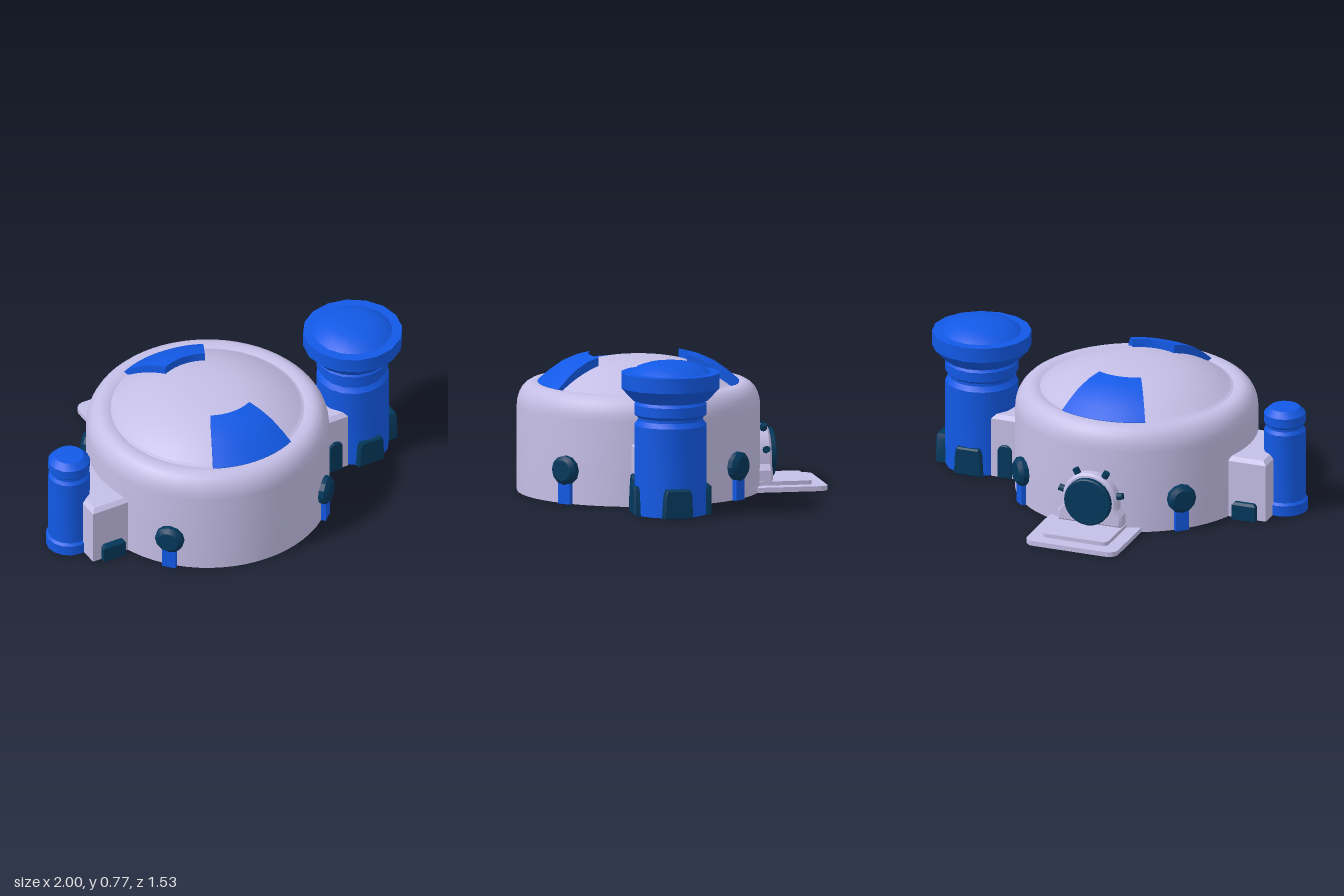
import * as THREE from 'three';
import { toCreasedNormals } from 'three/addons/utils/BufferGeometryUtils.js';

const material = (name, color) => {
  const m = new THREE.MeshStandardMaterial({ color, side: THREE.DoubleSide });
  m.name = name;
  return m;
};

export function createModel() {
  const lilac = material('lilac plaster', 0xc4bee6);
  const blue = material('blue paint', 0x1259e6);
  const teal = material('dark teal', 0x03385c);
  const slate = material('slate floor', 0x838cc4);

  const model = new THREE.Group();
  model.name = 'domedBase';
  const CX = -0.085, CZ = 0.155; // centre of the domed hall

  const add = (name, geo, mat, x = 0, y = 0, z = 0, parent = model) => {
    const mesh = new THREE.Mesh(geo, mat);
    mesh.name = name;
    mesh.position.set(x, y, z);
    parent.add(mesh);
    return mesh;
  };
  const pivot = (name, x, z, angle) => {
    const g = new THREE.Group();
    g.name = name;
    g.position.set(x, 0, z);
    g.rotation.y = angle;
    model.add(g);
    return g;
  };
  const vec = (pts) => pts.map(([x, y]) => new THREE.Vector2(x, y));
  const lathe = (pts, seg, crease = 0.5, start = 0, len = Math.PI * 2) =>
    toCreasedNormals(new THREE.LatheGeometry(vec(pts), seg, start, len), crease);
  const extrude = (shape, depth, bevel = 0) => toCreasedNormals(new THREE.ExtrudeGeometry(shape, {
    depth: depth - bevel, curveSegments: 12, bevelEnabled: bevel > 0,
    bevelThickness: bevel, bevelSize: bevel, bevelOffset: -bevel, bevelSegments: 1,
  }), 0.5);

  // Box standing on y = 0, open below, with chamfered top edges
  const chamferBox = (w, h, d, b) => {
    const geo = new THREE.BoxGeometry(w, h, d, 1, 2, 1);
    const p = geo.attributes.position;
    for (let i = 0; i < p.count; i++) {
      const y = p.getY(i);
      if (y > h * 0.4) {
        p.setX(i, p.getX(i) - Math.sign(p.getX(i)) * b);
        p.setZ(i, p.getZ(i) - Math.sign(p.getZ(i)) * b);
        p.setY(i, h);
      } else p.setY(i, y < -h * 0.4 ? 0 : h - b);
    }
    geo.setIndex([...geo.index.array].filter((_, i) => i < 30 || i >= 36));
    return toCreasedNormals(geo, 0.3);
  };

  // Hall: wall with rounded shoulder and groove, then the shallow dome
  const wall = [[0.61, 0], [0.61, 0.43]];
  for (let i = 1; i <= 6; i++) {
    const a = (i / 6) * Math.PI / 2;
    wall.push([0.525 + 0.085 * Math.cos(a), 0.43 + 0.12 * Math.sin(a)]);
  }
  wall.push([0.50, 0.547], [0.485, 0.541], [0.465, 0.548]);
  add('hallWall', lathe(wall, 64, 0.6), lilac, CX, 0, CZ);

  const dome = [];
  for (let i = 0; i <= 12; i++) {
    const t = 1 - i / 12;
    dome.push([0.47 * t, 0.548 + 0.125 * (1 - t ** 2.5)]);
  }
  add('dome', lathe(dome, 64), lilac, CX, 0, CZ);
  const floor = new THREE.CircleGeometry(0.605, 64);
  floor.rotateX(Math.PI / 2);
  add('hallFloor', floor, slate, CX, 0.06, CZ);

  // Raised blue panels at the front and back of the dome
  const panel = [[0.505, 0.535], [0.505, 0.55], [0.45, 0.597], [0.39, 0.64], [0.32, 0.672],
    [0.253, 0.69], [0.253, 0.635], [0.36, 0.595], [0.45, 0.545], [0.505, 0.535]];
  const half = 0.46;
  for (const turn of [0, Math.PI]) {
    const g = pivot('domePanel', CX, CZ, turn);
    add('panelSkin', lathe(panel, 12, 0.5, -half, half * 2), blue, 0, 0, 0, g);
    for (const a of [-half, half]) {
      const side = new THREE.ShapeGeometry(new THREE.Shape(vec(panel.slice(0, -1))));
      side.rotateY(a - Math.PI / 2);
      add('panelSide', side, blue, 0, 0, 0, g);
    }
  }

  // Four round lamps on posts around the wall
  const lamp = lathe([[0, 0], [0.06, 0], [0.074, 0.018], [0.074, 0.045], [0.052, 0.065], [0, 0.065]], 12);
  lamp.rotateX(Math.PI / 2);
  for (let i = 0; i < 4; i++) {
    const g = pivot('wallLamp', CX, CZ, Math.PI / 4 - 0.04 + i * Math.PI / 2);
    add('lampDisc', lamp, teal, 0, 0.17, 0.588, g);
    add('lampPost', new THREE.BoxGeometry(0.07, 0.12, 0.035), blue, 0, 0.06, 0.616, g);
  }

  // Large watchtower
  const TX = 0.75;
  const tower = [[0.183, 0], [0.183, 0.45], [0.165, 0.475], [0.165, 0.49], [0.183, 0.505], [0.183, 0.555],
    [0.172, 0.57], [0.19, 0.575], [0.25, 0.64], [0.25, 0.715], [0.2, 0.716], [0.165, 0.744],
    [0.11, 0.761], [0.05, 0.769], [0, 0.77]];
  add('largeTower', lathe(tower, 16), blue, TX, 0, CZ);
  const hatch = new THREE.Shape(vec([[-0.075, 0], [0.075, 0], [0.069, 0.12], [0.058, 0.147], [-0.058, 0.147], [-0.069, 0.12]]));
  for (const [angle, reach] of [[0, 0.138], [Math.PI / 2, 0.161], [Math.PI, 0.138]]) {
    const g = pivot('towerHatch', TX, CZ, angle);
    add('hatchDoor', extrude(hatch, 0.06, 0.008), teal, 0, 0, reach, g);
  }

  // Passage from hall to large tower, with arched windows on both sides
  add('rightPassage', chamferBox(0.14, 0.33, 0.3, 0.02), lilac, 0.57, 0, CZ);
  const arch = new THREE.Shape();
  arch.moveTo(-0.038, 0).lineTo(0.038, 0).lineTo(0.038, 0.14);
  arch.absarc(0, 0.14, 0.038, 0, Math.PI);
  for (const a of [0, Math.PI]) {
    const g = pivot('passageWindow', 0.565, CZ, a);
    add('windowArch', extrude(arch, 0.025, 0.005), teal, 0, 0, 0.138, g);
  }

  // Small tower with its block
  const small = [[0.117, 0], [0.117, 0.055], [0.105, 0.067], [0.105, 0.43], [0.093, 0.447], [0.093, 0.46],
    [0.105, 0.472], [0.105, 0.52], [0.075, 0.55], [0, 0.552]];
  add('smallTower', lathe(small, 16), blue, -0.882, 0, CZ);
  add('leftBlock', chamferBox(0.21, 0.32, 0.41, 0.02), lilac, -0.755, 0, CZ);
  for (const s of [-1, 1])
    add('blockHatch', chamferBox(0.125, 0.09, 0.07, 0.012), teal, -0.75, 0, CZ + s * 0.2);

  // Rear ramp: two stacked plates with rounded corners
  const ramp = (name, w, far, r, y, h) => {
    const s = new THREE.Shape();
    s.moveTo(-w, 0.4).lineTo(w, 0.4).lineTo(w, far - r);
    s.absarc(w - r, far - r, r, 0, Math.PI / 2);
    s.absarc(-w + r, far - r, r, Math.PI / 2, Math.PI);
    const geo = extrude(s, h);
    geo.rotateX(-Math.PI / 2);
    add(name, geo, lilac, CX, y, 0);
  };
  ramp('rampBase', 0.245, 0.77, 0.05, 0, 0.025);
  ramp('rampStep', 0.175, 0.7, 0.03, 0.025, 0.02);

  // Rear doorway: arched frame, round door and bolts
  const rear = pivot('rearDoor', CX, 0, Math.PI);
  const frame = new THREE.Shape();
  frame.moveTo(-0.17, 0.04).lineTo(0.17, 0.04).lineTo(0.17, 0.1).lineTo(0.145, 0.13).lineTo(0.145, 0.17);
  frame.absarc(0, 0.17, 0.145, 0, Math.PI);
  frame.lineTo(-0.145, 0.13).lineTo(-0.17, 0.1);
  add('doorFrame', extrude(frame, 0.09, 0.012), lilac, 0, 0, 0.41, rear);
  const door = lathe([[0, 0], [0.124, 0], [0.124, 0.03], [0.118, 0.035], [0, 0.035]], 24);
  door.rotateX(Math.PI / 2);
  add('roundDoor', door, teal, 0, 0.17, 0.494, rear);
  for (const a of [0.22, 1.06, Math.PI - 1.06, Math.PI - 0.22]) {
    const bolt = add('doorBolt', new THREE.CylinderGeometry(0.018, 0.018, 0.035, 8), teal,
      Math.cos(a) * 0.157, 0.17 + Math.sin(a) * 0.157, 0.468, rear);
    bolt.rotation.z = a - Math.PI / 2;
  }
  return model;
}
